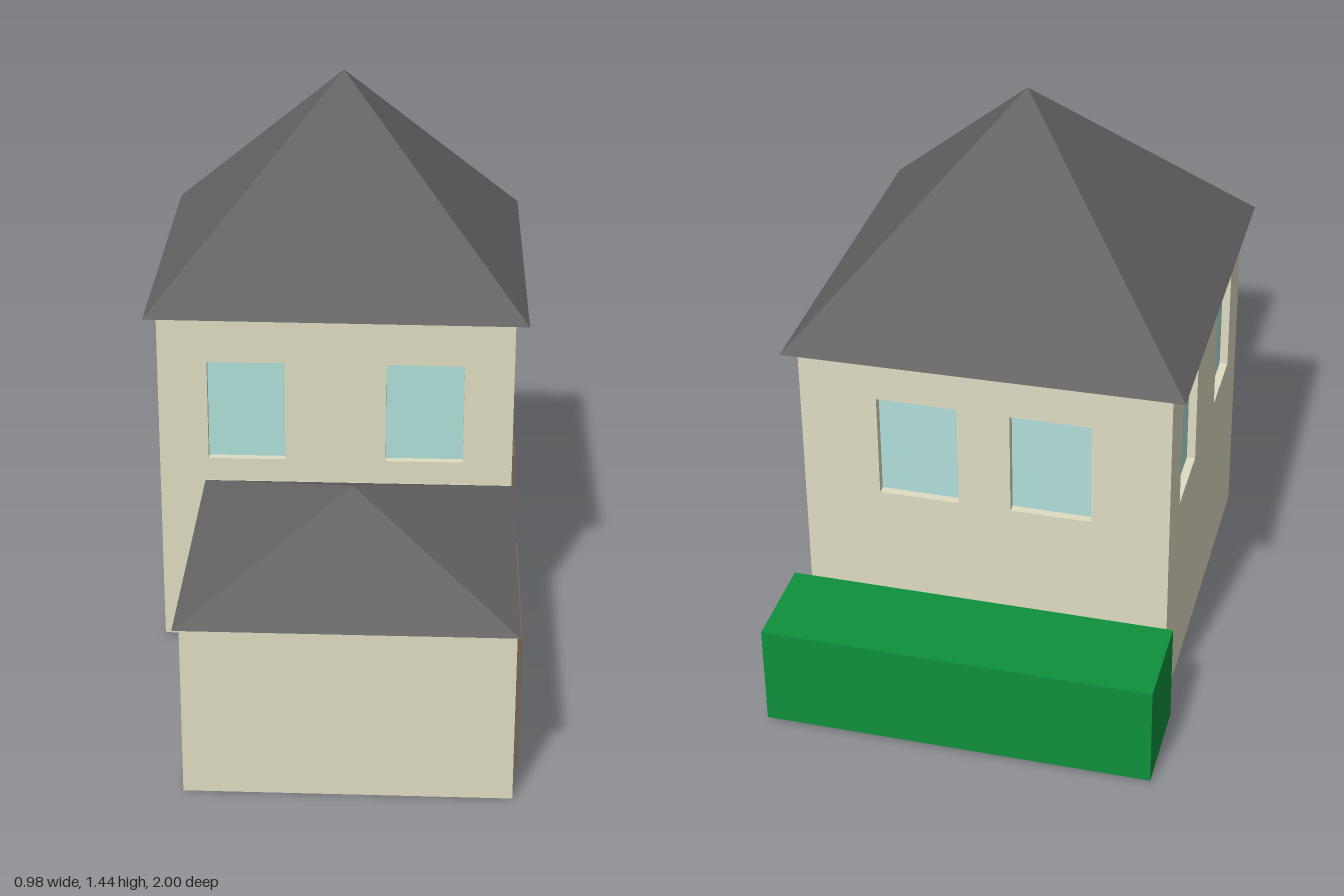
import * as THREE from 'three';

const paint = (color) => new THREE.MeshStandardMaterial({ color, flatShading: true });

export function createModel() {
  const house = new THREE.Group();
  house.name = 'house';
  const cream = paint(0xdfdcc2);
  const slate = paint(0x646464);
  const glass = paint(0xb0dfda);
  const brown = paint(0x756456);
  const green = paint(0x0e903c);

  const add = (name, geometry, material, parent = house) => {
    const mesh = new THREE.Mesh(geometry, material);
    mesh.name = name;
    parent.add(mesh);
    return mesh;
  };

  // Box given by its limits on each axis
  const block = (name, material, [x0, x1], [y0, y1], [z0, z1]) => {
    const mesh = add(name, new THREE.BoxGeometry(x1 - x0, y1 - y0, z1 - z0), material);
    mesh.position.set((x0 + x1) / 2, (y0 + y1) / 2, (z0 + z1) / 2);
    return mesh;
  };

  // Four-sided pyramid roof with a closed underside
  const roof = (name, [x0, x1], [y0, y1], [z0, z1]) => {
    const geometry = new THREE.ConeGeometry(Math.SQRT1_2, 1, 4).rotateY(Math.PI / 4);
    geometry.scale(x1 - x0, y1 - y0, z1 - z0);
    const mesh = add(name, geometry, slate);
    mesh.position.set((x0 + x1) / 2, (y0 + y1) / 2, (z0 + z1) / 2);
    return mesh;
  };

  // Main house: four walls with two recessed windows each
  const bottom = 0.01, top = 0.922, thick = 0.03;
  const sill = 0.53, head = 0.8, paneWidth = 0.2;
  const halfX = 0.457, halfZ = 0.457, centreZ = -0.255;

  const wall = (name, half, distance, angle, offset) => {
    const group = new THREE.Group();
    group.name = name;
    group.position.z = centreZ;
    group.rotation.y = angle;
    const shape = new THREE.Shape();
    shape.moveTo(-half, bottom).lineTo(half, bottom).lineTo(half, top).lineTo(-half, top).closePath();
    for (const u of [-offset, offset]) {
      const a = u - paneWidth / 2, b = u + paneWidth / 2;
      const hole = new THREE.Path();
      hole.moveTo(a, sill).lineTo(a, head).lineTo(b, head).lineTo(b, sill).closePath();
      shape.holes.push(hole);
      const pane = add('windowPane', new THREE.BoxGeometry(paneWidth, head - sill, 0.01), glass, group);
      pane.position.set(u, (sill + head) / 2, distance - 0.026);
    }
    const body = new THREE.ExtrudeGeometry(shape, { depth: thick, bevelEnabled: false });
    add('wallPanel', body.translate(0, 0, distance - thick), cream, group);
    house.add(group);
  };
  wall('frontWall', halfX, halfZ, 0, 0.23);
  wall('backWall', halfX, halfZ, Math.PI, 0.165);
  wall('leftWall', halfZ - thick, halfX, Math.PI / 2, 0.23);
  wall('rightWall', halfZ - thick, halfX, -Math.PI / 2, 0.23);

  const inX = halfX - thick, inZ = halfZ - thick;
  block('houseFloor', cream, [-inX, inX], [bottom, 0.03], [centreZ - inZ, centreZ + inZ]);

  // Main roof sits very slightly askew
  const mainRoof = roof('mainRoof', [-0.489, 0.489], [0.923, 1.445], [-0.756, 0.23]);
  mainRoof.rotation.set(0, 0.006, -0.006);

  // Garage
  block('garageBody', cream, [-0.33, 0.455], [0, 0.467], [0.2, 0.945]);
  roof('garageRoof', [-0.34, 0.46], [0.465, 0.65], [0.2, 1]);

  // Doors
  block('frontDoor', brown, [0.445, 0.478], [bottom, 0.4], [-0.385, -0.128]);
  block('garageDoor', brown, [0.445, 0.472], [0, 0.37], [0.335, 0.812]);

  // Hedge behind the house
  block('hedge', green, [-0.481, 0.486], [bottom, 0.275], [-1, -0.754]);

  return house;
}
